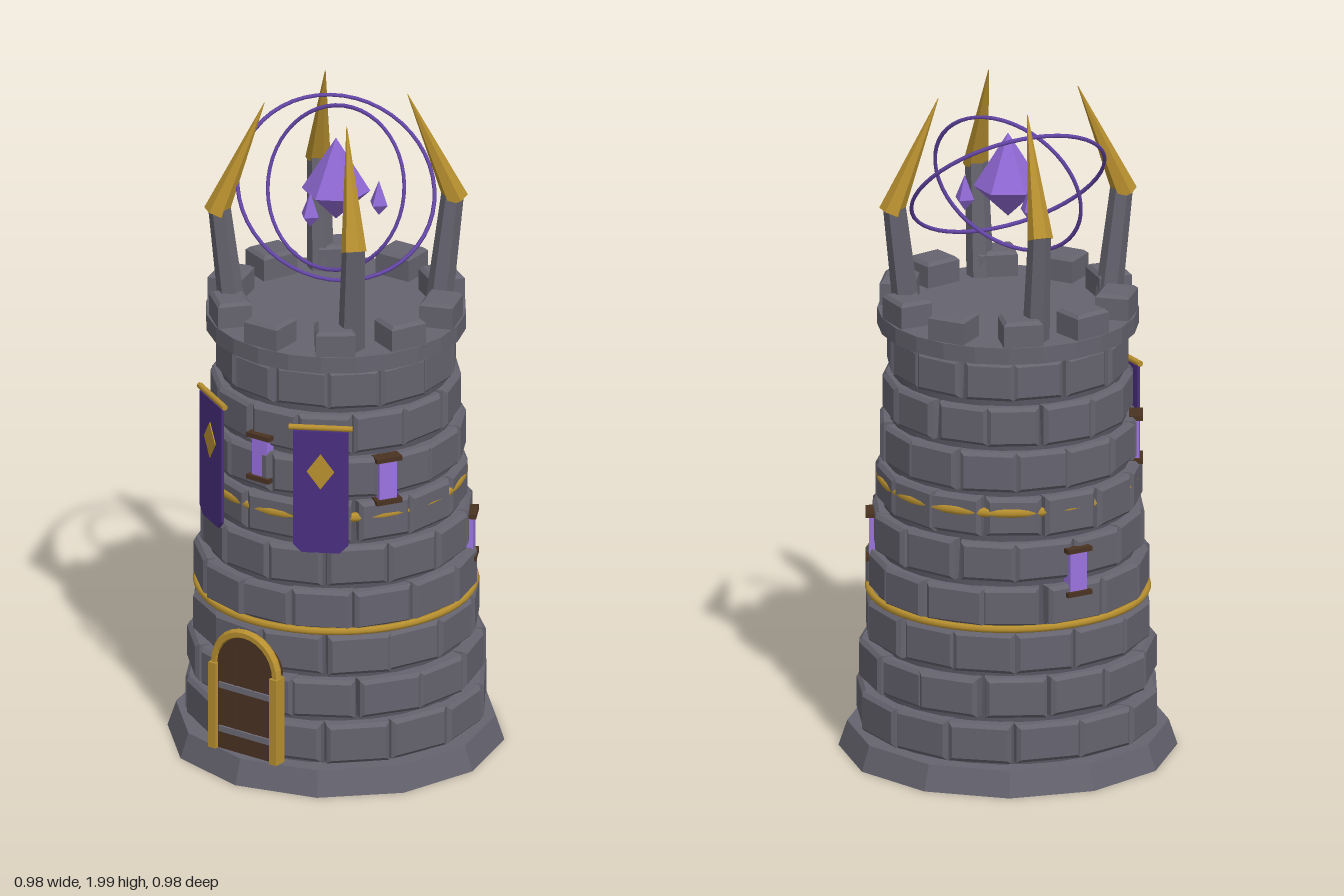
import * as THREE from 'three';

const mat = (name, color) => {
  const m = new THREE.MeshStandardMaterial({ color });
  m.name = name;
  return m;
};

export function createModel() {
  const stone = mat('stone', 0x65636e);
  const mortar = mat('mortar', 0x55535e);
  const gold = mat('gold', 0xb8902f);
  const crystal = mat('crystal', 0x8f68d4);
  const ringPurple = mat('ring purple', 0x6546a8);
  const cloth = mat('banner cloth', 0x4a2f80);
  const wood = mat('wood', 0x4a3322);
  const glow = mat('window glow', 0x9a74e0);
  const iron = mat('iron', 0x6e6c78);
  cloth.side = THREE.DoubleSide;

  const root = new THREE.Group();
  root.name = 'tower';
  const group = (name, parent = root) => {
    const g = new THREE.Group();
    g.name = name;
    parent.add(g);
    return g;
  };
  const add = (parent, name, geo, material, x = 0, y = 0, z = 0) => {
    const m = new THREE.Mesh(geo, material);
    m.name = name;
    m.position.set(x, y, z);
    parent.add(m);
    return m;
  };
  const flat = (geo) => {
    const g = geo.index ? geo.toNonIndexed() : geo;
    g.computeVertexNormals();
    return g;
  };
  const cyl = (rt, rb, h, n) => flat(new THREE.CylinderGeometry(rt, rb, h, n));
  const box = (w, h, d) => new THREE.BoxGeometry(w, h, d);

  let seed = 7;
  const rand = () => {
    seed = (seed * 16807) % 2147483647;
    return seed / 2147483647;
  };
  const jitter = (a) => (rand() - 0.5) * 2 * a;

  // Box with chamfered edges, centred on x and y, front face at z = 0
  const block = (w, h, d, b) => {
    const x = w / 2 - b, y = h / 2 - b;
    const s = new THREE.Shape([[-x, -y], [x, -y], [x, y], [-x, y]].map(p => new THREE.Vector2(...p)));
    const g = new THREE.ExtrudeGeometry(s, {
      depth: d - 2 * b, bevelEnabled: true, bevelSize: b, bevelThickness: b, bevelSegments: 1,
    });
    return g.translate(0, 0, b - d);
  };
  // Holder turned to face outward at an angle measured from the front
  const facing = (parent, name, angle) => {
    const g = group(name, parent);
    g.rotation.y = angle;
    return g;
  };

  // Base, inner wall and roof slab
  add(root, 'base', cyl(0.465, 0.49, 0.075, 12), stone, 0, 0.0375, 0);
  add(root, 'innerWall', new THREE.CylinderGeometry(0.325, 0.405, 1.22, 28), mortar, 0, 0.68, 0);
  add(root, 'roofSlab', cyl(0.378, 0.378, 0.05, 24), stone, 0, 1.31, 0);

  // Nine courses of wall blocks, each turned half a block
  const wall = group('wallBlocks');
  const N = 14, step = Math.PI * 2 / N;
  for (let row = 0; row < 9; row++) {
    const R = 0.43 - 0.083 * row / 8;
    for (let i = 0; i < N; i++) {
      const a = (i + (row % 2 ? 0 : 0.5) + 0.25) * step + jitter(0.03);
      const w = 2 * R * Math.tan(step / 2) * (0.95 + jitter(0.04));
      const holder = facing(wall, 'blockHolder', a);
      const m = add(holder, 'block', block(w, 0.118 + jitter(0.004), 0.08, 0.011), stone,
        0, 0.144 + 0.1345 * row, R + jitter(0.005));
      m.rotation.y = jitter(0.03);
    }
  }

  // Battlement blocks
  const battlement = group('battlement');
  for (let i = 0; i < 10; i++) {
    const holder = facing(battlement, 'merlonHolder', i * Math.PI / 5);
    const m = add(holder, 'merlon', block(0.115, 0.1, 0.09, 0.01), stone, 0, 1.41, 0.32);
    m.rotation.x = -Math.PI / 2;
    m.rotation.z = jitter(0.08);
  }

  // Gold bands
  const band = (name, r, tube, y) => {
    const m = add(root, name, new THREE.TorusGeometry(r, tube, 6, 56), gold, 0, y, 0);
    m.rotation.x = Math.PI / 2;
  };
  band('lowerBand', 0.403, 0.011, 0.487);
  band('upperBand', 0.368, 0.014, 0.83);

  // Door with arched frame and iron straps
  const door = group('door');
  const panel = new THREE.Shape();
  panel.moveTo(-0.1, 0.08);
  panel.lineTo(0.1, 0.08);
  panel.lineTo(0.1, 0.345);
  panel.absarc(0, 0.345, 0.1, 0, Math.PI, false);
  panel.closePath();
  add(door, 'doorPanel', new THREE.ExtrudeGeometry(panel, { depth: 0.05, bevelEnabled: false }), wood, 0, 0, 0.393);
  for (const s of [-1, 1]) {
    add(door, 'jamb', box(0.026, 0.267, 0.04), gold, s * 0.109, 0.2125, 0.436);
    add(door, 'plankSeam', box(0.004, 0.3, 0.004), wood, s * 0.033, 0.25, 0.444);
  }
  add(door, 'arch', flat(new THREE.TorusGeometry(0.11, 0.015, 6, 14, Math.PI)), gold, 0, 0.345, 0.436);
  for (const y of [0.143, 0.28]) add(door, 'strap', box(0.18, 0.018, 0.009), iron, 0, y, 0.445);

  // Windows: glowing slit between a lintel and a sill
  const deg = Math.PI / 180;
  for (const [a, y, r] of [[0, 0.99, 0.37], [60, 0.94, 0.378], [-60, 0.94, 0.378], [120, 0.645, 0.4], [-120, 0.645, 0.4]]) {
    const w = facing(root, 'window', a * deg);
    add(w, 'pane', box(0.055, 0.12, 0.04), glow, 0, y, r - 0.018);
    for (const s of [-1, 1]) add(w, s > 0 ? 'lintel' : 'sill', box(0.08, 0.014, 0.04), wood, 0, y + s * 0.066, r - 0.008);
  }

  // Banners on gold rods
  const outline = [[-0.08, 1.11], [-0.08, 0.755], [-0.055, 0.73], [0.055, 0.73], [0.08, 0.755], [0.08, 1.11]];
  const clothShape = new THREE.Shape(outline.map(p => new THREE.Vector2(...p)));
  const emblem = new THREE.Shape([[0, -0.055], [0.04, 0], [0, 0.055], [-0.04, 0]].map(p => new THREE.Vector2(...p)));
  for (const s of [-1, 1]) {
    const b = facing(root, 'banner', s * 30 * deg);
    add(b, 'bannerCloth', new THREE.ExtrudeGeometry(clothShape, { depth: 0.008, bevelEnabled: false }), cloth, 0, 0, 0.388);
    add(b, 'bannerDiamond', new THREE.ExtrudeGeometry(emblem, { depth: 0.005, bevelEnabled: false }), gold, 0, 0.985, 0.394);
    add(b, 'bannerRod', new THREE.CylinderGeometry(0.009, 0.009, 0.185, 8), gold, 0, 1.12, 0.39).rotation.z = Math.PI / 2;
  }

  // Four leaning prongs with gold spikes
  const limb = (parent, name, a, b, ra, rb, material) => {
    const d = b.clone().sub(a);
    const m = add(parent, name, cyl(rb, ra, d.length(), 6), material);
    m.position.copy(a).addScaledVector(d, 0.5);
    m.quaternion.setFromUnitVectors(new THREE.Vector3(0, 1, 0), d.normalize());
  };
  for (const sx of [-1, 1]) for (const sz of [-1, 1]) {
    const p = group('prong');
    const at = (h, y) => new THREE.Vector3(sx * h, y, sz * h);
    limb(p, 'prongPost', at(0.212, 1.32), at(0.241, 1.67), 0.04, 0.033, stone);
    limb(p, 'prongSpike', at(0.248, 1.655), at(0.148, 1.99), 0.037, 0.001, gold);
  }

  // Floating crystals: one large, three small
  const gem = (parent, name, r, up, down, n, x, y, z) => {
    const pts = [[0, -down], [r, 0], [0, up]].map(p => new THREE.Vector2(...p));
    return add(parent, name, flat(new THREE.LatheGeometry(pts, n)), crystal, x, y, z);
  };
  const gems = group('crystals');
  gem(gems, 'largeCrystal', 0.1, 0.162, 0.092, 6, 0, 1.705, 0);
  for (let i = 0; i < 3; i++) {
    const a = i * Math.PI * 2 / 3;
    gem(gems, 'smallCrystal', 0.031, 0.072, 0.036, 4, 0.125 * Math.sin(a), 1.666, 0.125 * Math.cos(a));
  }

  // Two tilted orbit rings
  const orbit = (name, r, normal) => {
    const m = add(root, name, new THREE.TorusGeometry(r, 0.006, 6, 48), ringPurple, 0, 1.71, 0);
    m.quaternion.setFromUnitVectors(new THREE.Vector3(0, 0, 1), normal.normalize());
  };
  orbit('uprightRing', 0.238, new THREE.Vector3(0, 0.342, 0.94));
  orbit('tiltedRing', 0.29, new THREE.Vector3(0.555, 0.7, 0.44));

  return root;
}
